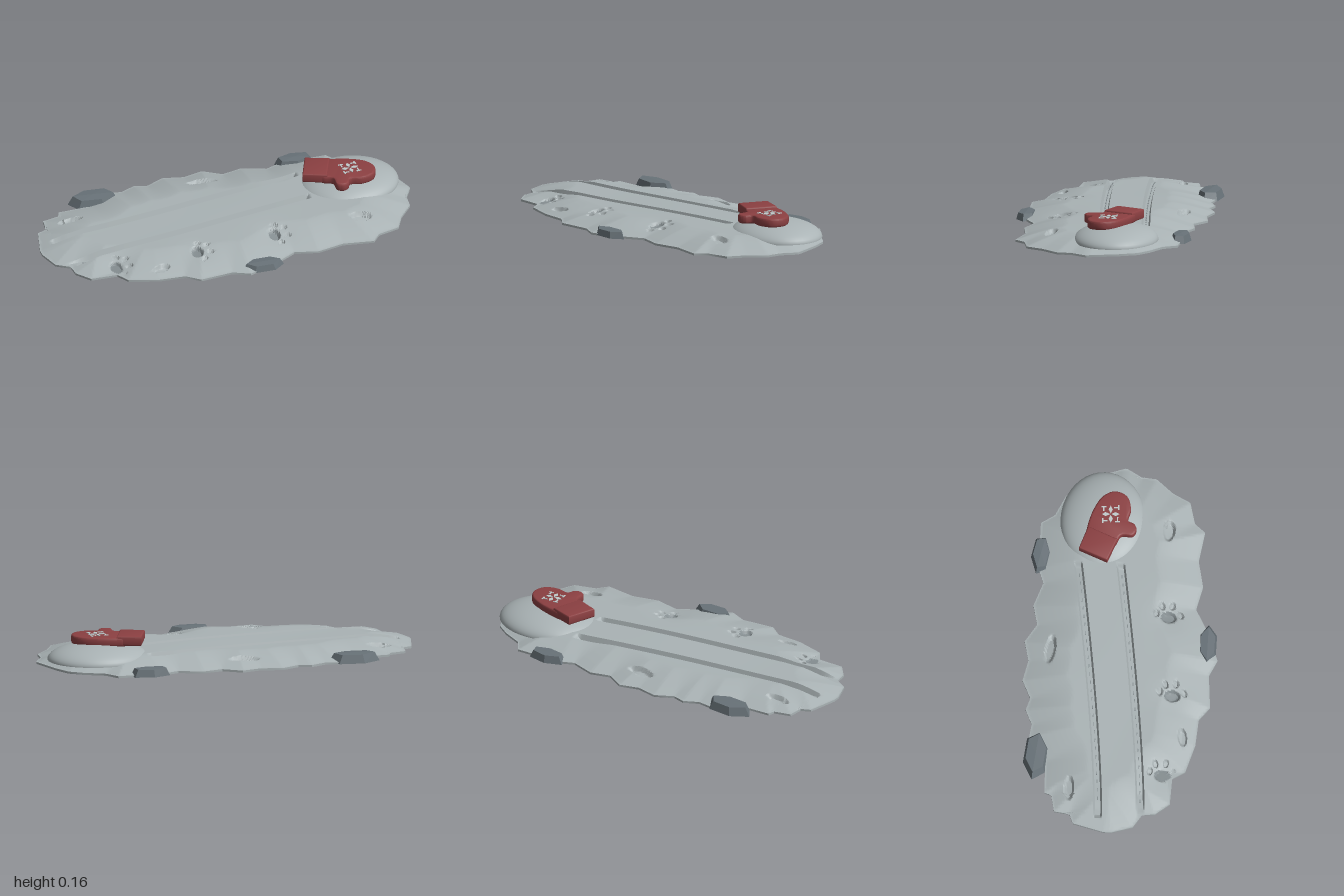
import * as THREE from 'three';
import { toCreasedNormals } from 'three/addons/utils/BufferGeometryUtils.js';

const mat = (name, color) => Object.assign(new THREE.MeshStandardMaterial({ color }), { name });
const clamp = THREE.MathUtils.clamp;

// Ragged outline of the patch as x, z pairs, left to right
const BACK = [-1, -.04, -.96, -.2, -.91, -.22, -.9, -.3, -.81, -.32, -.8, -.355, -.63, -.36, -.5, -.45, -.43, -.44,
  -.35, -.475, -.285, -.455, -.19, -.5, -.08, -.475, .025, -.5, .12, -.44, .225, -.465, .35, -.42, .43, -.45,
  .68, -.45, .725, -.38, .83, -.33, .9, -.28, .945, -.19, 1, -.03];
const FRONT = [-1, 0, -.965, .11, -.895, .155, -.89, .22, -.83, .295, -.69, .3, -.65, .365, -.5, .41, -.36, .42,
  -.29, .475, -.115, .46, -.03, .5, .085, .46, .165, .42, .245, .375, .37, .405, .51, .375, .67, .4, .715, .345,
  .83, .315, .875, .225, .95, .135, .955, .06, 1, -.02];
const toPoints = a => Array.from({ length: a.length / 2 }, (_, i) => new THREE.Vector2(a[2 * i], a[2 * i + 1]));
const back = toPoints(BACK), front = toPoints(FRONT);
const outline = [...back, ...front.slice().reverse()];

function edgeZ(list, x) {
  let i = 1;
  while (i < list.length - 1 && list[i].x < x) i++;
  const a = list[i - 1], b = list[i];
  return a.y + (b.y - a.y) * clamp((x - a.x) / (b.x - a.x), 0, 1);
}

function edgeDistance(x, z) {
  let best = 9;
  outline.forEach((a, i) => {
    const b = outline[(i + 1) % outline.length], dx = b.x - a.x, dz = b.y - a.y;
    const t = clamp(((x - a.x) * dx + (z - a.y) * dz) / (dx * dx + dz * dz), 0, 1);
    best = Math.min(best, Math.hypot(x - a.x - dx * t, z - a.y - dz * t));
  });
  return best;
}

// Dents: x, z, radius x, radius z, turn, depth
const craters = [[-.775, -.23, .068, .026, 0, .022], [-.02, -.365, .082, .028, .12, .022],
  [.655, .215, .062, .03, .1, .022], [-.465, .34, .052, .024, -.15, .02]];
const paws = [[-.68, .245], [-.25, .275], [.18, .235]];
const pads = paws.map(([x, z]) => [x, z, .032, .045, 0, .018]);
const toes = paws.flatMap(([x, z]) => [[.018, -.063, .3], [.06, -.036, -.2], [.066, .018, .2], [.02, .062, -.3]]
  .map(([dx, dz, turn]) => [x + dx, z + dz, .022, .015, turn, .014]));
const dents = [...craters, ...pads, ...toes];

function dentRatio([cx, cz, rx, rz, turn], x, z) {
  const c = Math.cos(turn), s = Math.sin(turn), dx = x - cx, dz = z - cz;
  return Math.hypot((dx * c + dz * s) / rx, (dz * c - dx * s) / rz);
}

function snowHeight(x, z) {
  const k = Math.min(1, edgeDistance(x, z) / .22);
  let y = .01 + (.055 + .008 * x) * (1 - (1 - k) ** 1.3);
  y += .003 * k * Math.sin(5 * x + 1) * Math.cos(7 * z);
  for (const [px, pz] of paws) y -= .007 * Math.exp(-((x - px) ** 2 + (z - pz) ** 2) / .006);
  for (const d of dents) y -= d[5] * clamp((1 - dentRatio(d, x, z)) / .3, 0, 1);
  return Math.max(.0115, y);
}

// Sled runner grooves
const trackZ = x => -.075 - .17 * clamp((x + .9) / 1.35, 0, 1) ** 1.3;
const trackDepth = x => .028 * clamp((x + .93) / .03, 0, 1) * clamp((.46 - x) / .02, 0, 1);
const TRACK_GAP = .22;

function buildSnow() {
  const cols = 280, position = [], snowFaces = [], packedFaces = [];
  let rows = 0;
  for (let i = 0; i <= cols; i++) {
    const x = -1 + 2 * i / cols, zb = edgeZ(back, x), zf = edgeZ(front, x), t = trackZ(x);
    const knots = [zb];
    for (const c of [t, t + TRACK_GAP]) for (const o of [-.023, -.014, .014, .023]) knots.push(clamp(c + o, zb, zf));
    knots.push(zf);
    const line = [];
    [44, 1, 1, 1, 34, 1, 1, 1, 56].forEach((n, s) => {
      for (let j = 0; j < n; j++) {
        const floor = j === 0 && [2, 3, 6, 7].includes(s);
        line.push([knots[s] + (knots[s + 1] - knots[s]) * j / n, floor]);
      }
    });
    line.push([zf, false]);
    rows = line.length;
    for (const [z, floor] of line)
      position.push(x, Math.max(.0115, snowHeight(x, z) - (floor ? trackDepth(x) : 0)), z);
  }
  for (let i = 0; i < cols; i++) for (let j = 0; j < rows - 1; j++) {
    const a = i * rows + j, c = a + rows;
    const x = position[3 * a], z = position[3 * a + 2];
    const target = pads.some(p => dentRatio(p, x, z) < .92) ? packedFaces : snowFaces;
    target.push(a, a + 1, c, a + 1, c + 1, c);
  }
  const g = new THREE.BufferGeometry();
  g.setAttribute('position', new THREE.Float32BufferAttribute(position, 3));
  g.setIndex([...snowFaces, ...packedFaces]);
  g.addGroup(0, snowFaces.length, 0);
  g.addGroup(snowFaces.length, packedFaces.length, 1);
  return toCreasedNormals(g, .6);
}

// Flat slab from an x, z outline, lying between bottom and top
function slab(points, bottom, top, bevel = 0, smooth = false) {
  const shape = new THREE.Shape();
  if (smooth) shape.setFromPoints(new THREE.CatmullRomCurve3(points.map(p => new THREE.Vector3(p.x, p.y, 0)), true)
    .getPoints(60).slice(0, -1).map(p => new THREE.Vector2(p.x, p.y)));
  else shape.setFromPoints(points);
  const g = new THREE.ExtrudeGeometry(shape, { depth: top - bottom - 2 * bevel, bevelEnabled: bevel > 0,
    bevelSize: bevel, bevelOffset: -bevel, bevelThickness: bevel, bevelSegments: 3 });
  g.rotateX(Math.PI / 2).translate(0, top - bevel, 0);
  return toCreasedNormals(g, .7);
}

export function createModel() {
  const snow = mat('snow', 0xaab3b5), packed = mat('packedSnow', 0x858e91);
  const stone = mat('stone', 0x687278), wool = mat('redWool', 0x8c4042), frost = mat('frost', 0xc2cacb);
  const model = new THREE.Group();
  model.name = 'snowPatch';
  const add = (name, geometry, material, parent = model) => {
    const m = new THREE.Mesh(geometry, material);
    m.name = name;
    parent.add(m);
    return m;
  };

  // Ground
  add('snowBase', slab(outline, 0, .011), snow);
  add('snowSurface', buildSnow(), [snow, packed]);

  // Tread marks along the groove floors
  const treads = new THREE.Group();
  treads.name = 'treadMarks';
  model.add(treads);
  const treadShape = new THREE.BoxGeometry(.018, .003, .004);
  for (const offset of [0, TRACK_GAP]) for (let x = -.82; x < .43; x += .045) {
    const z = trackZ(x) + offset;
    add('treadMark', treadShape, packed, treads)
      .position.set(x, Math.max(.0115, snowHeight(x, z) - trackDepth(x)) + .001, z);
  }

  // Snow mound, open underneath
  const mound = add('snowMound', new THREE.SphereGeometry(1, 40, 14, 0, Math.PI * 2, 0, Math.PI / 2), snow);
  mound.scale.set(.265, .084, .22);
  mound.position.set(.7, .036, -.13);

  // Stones at the rim: x, z, radius x, radius z, height, turn
  for (const [x, z, rx, rz, h, turn] of [[-.595, -.41, .135, .068, .048, .3],
    [.505, -.44, .11, .052, .042, .1], [.055, .445, .112, .052, .036, .5]]) {
    const g = new THREE.CylinderGeometry(.8, 1, 1, 6).rotateY(turn).scale(rx, h, rz).translate(0, h / 2, 0);
    const p = g.attributes.position;
    for (let i = 0; i < p.count; i++) if (p.getY(i) > .01) p.setY(i, p.getY(i) - .08 * Math.abs(p.getZ(i)));
    const flat = g.toNonIndexed();
    flat.computeVertexNormals();
    add('rimStone', flat, stone).position.set(x, .002, z);
  }

  // Mitten
  const mitten = new THREE.Group();
  mitten.name = 'mitten';
  model.add(mitten);
  const hand = toPoints([.57, -.21, .62, -.208, .72, -.18, .795, -.135, .825, -.075, .8, -.01, .73, .013, .668, .002,
    .65, .035, .62, .047, .588, .03, .585, -.03, .53, -.065]);
  add('mittenHand', slab(hand, .107, .153, .01, true), wool, mitten);
  const cuff = toPoints([.5, -.245, .622, -.203, .56, -.048, .44, -.095]);
  add('mittenCuff', slab(cuff, .111, .162, .008), wool, mitten);

  // Frost star on the mitten, with small outer chevrons
  const star = new THREE.Group();
  star.name = 'frostStar';
  star.position.set(.695, .153, -.09);
  star.rotation.y = -.3;
  mitten.add(star);
  const petal = slab(toPoints([.004, 0, .026, -.011, .046, 0, .026, .011]), 0, .003);
  const bar = new THREE.BoxGeometry(.026, .003, .007);
  for (let i = 0; i < 4; i++) {
    const arm = new THREE.Group();
    arm.name = 'starArm';
    arm.rotation.y = i * Math.PI / 2 + .35;
    star.add(arm);
    add('starPetal', petal, frost, arm);
    for (const s of [-1, 1]) {
      const b = add('starChevron', bar, frost, arm);
      b.position.set(.05, .0015, 0).applyAxisAngle(new THREE.Vector3(0, 1, 0), Math.PI / 4);
      b.position.x += s * .006;
      b.rotation.y = Math.PI / 4 + s * .8;
    }
  }
  return model;
}
